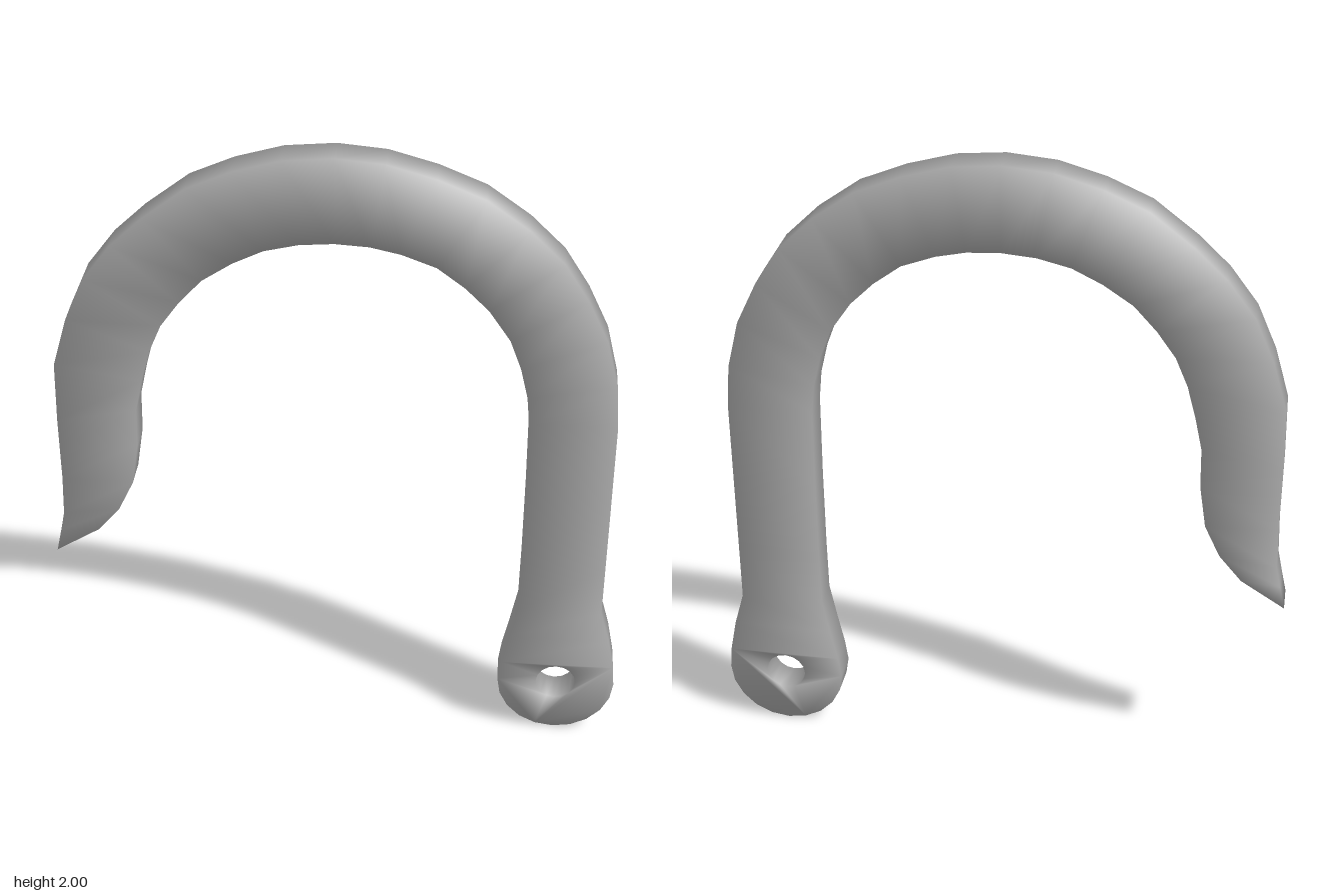
import * as THREE from 'three';

const HALF_DEPTH = 0.05;
const EYE = { x: 0.696, y: 0.185, r: 0.185, hole: 0.063 };
const TIP = [-0.886, 0.614];

// Outer edge, from beside the tip over the arch and down the shank to the eye
const outerEdge = [
  [-0.869, 0.69], [-0.855, 0.757], [-0.85, 0.89], [-0.85, 1], [-0.85, 1.1], [-0.845, 1.296],
  [-0.8, 1.45], [-0.74, 1.587], [-0.655, 1.7], [-0.56, 1.79], [-0.43, 1.89],
  [-0.3, 1.947], [-0.16, 1.987], [-0.013, 2], [0.13, 1.987], [0.272, 1.947],
  [0.41, 1.89], [0.535, 1.8], [0.637, 1.7], [0.712, 1.582], [0.775, 1.45],
  [0.812, 1.3], [0.823, 1.164], [0.823, 0.9], [0.823, 0.64], [0.823, 0.47],
  [0.854, 0.36], [0.875, 0.254],
];

// Inner edge in the same order, one point opposite each outer point
const innerEdge = [
  [-0.75, 0.7], [-0.68, 0.783], [-0.632, 0.884], [-0.611, 1.02], [-0.608, 1.148], [-0.585, 1.254],
  [-0.558, 1.354], [-0.52, 1.444], [-0.463, 1.524], [-0.394, 1.6], [-0.304, 1.66],
  [-0.214, 1.704], [-0.114, 1.728], [-0.013, 1.736], [0.087, 1.73], [0.177, 1.71],
  [0.278, 1.672], [0.36, 1.61], [0.43, 1.54], [0.495, 1.444], [0.53, 1.35],
  [0.553, 1.254], [0.562, 1.164], [0.565, 0.9], [0.565, 0.64], [0.563, 0.47],
  [0.542, 0.36], [0.52, 0.254],
];

// Points along a circle about the eye's centre
function arc(radius, from, to, steps) {
  return Array.from({ length: steps + 1 }, (_, i) => {
    const a = from + (to - from) * i / steps;
    return [EYE.x + radius * Math.cos(a), EYE.y + radius * Math.sin(a)];
  });
}

// Outward direction at each point of a closed loop that keeps the metal on its left
function outwardNormals(loop) {
  const edgeNormal = (a, b) => new THREE.Vector2(b[1] - a[1], a[0] - b[0]).normalize();
  return loop.map((p, i) => {
    const before = loop[(i + loop.length - 1) % loop.length];
    const after = loop[(i + 1) % loop.length];
    return edgeNormal(before, p).add(edgeNormal(p, after)).normalize();
  });
}

function hookGeometry() {
  const outline = [TIP, ...innerEdge, ...arc(EYE.r, Math.PI, Math.PI * 2, 10), ...[...outerEdge].reverse()];
  const hole = arc(EYE.hole, Math.PI * 2, 0, 16).slice(0, -1);
  const points = [...outline, ...hole];
  const normals2D = [...outwardNormals(outline), ...outwardNormals(hole)];
  const count = points.length;
  const ribs = innerEdge.length;
  const positions = [], normals = [], indices = [];

  // Front and back rims, their normals leaning halfway between face and wall
  for (const side of [1, -1]) {
    points.forEach(([x, y], i) => {
      positions.push(x, y, side * HALF_DEPTH);
      normals.push(normals2D[i].x * Math.SQRT1_2, normals2D[i].y * Math.SQRT1_2, side * Math.SQRT1_2);
    });
  }

  // One triangle on the front face and its mirror on the back
  const addFace = (a, b, c) => {
    const [p, q, r] = [points[a], points[b], points[c]];
    const turn = (q[0] - p[0]) * (r[1] - p[1]) - (q[1] - p[1]) * (r[0] - p[0]);
    if (turn < 0) [b, c] = [c, b];
    indices.push(a, b, c, a + count, c + count, b + count);
  };

  // Faces of the tip, arch and shank: a strip between the two edges
  const inner = (i) => 1 + i;
  const outer = (i) => outline.length - 1 - i;
  addFace(0, inner(0), outer(0));
  for (let i = 0; i < ribs - 1; i++) {
    addFace(outer(i), inner(i), inner(i + 1));
    addFace(outer(i), inner(i + 1), outer(i + 1));
  }

  // Faces of the eye, around its hole
  const toVector = ([x, y]) => new THREE.Vector2(x, y);
  const rim = outline.slice(ribs, outline.length - ribs + 1);
  const toIndex = (k) => (k < rim.length ? ribs + k : outline.length + k - rim.length);
  for (const face of THREE.ShapeUtils.triangulateShape(rim.map(toVector), [hole.map(toVector)])) {
    addFace(...face.map(toIndex));
  }

  // Walls around the outline and inside the hole
  const addWalls = (start, length) => {
    for (let i = 0; i < length; i++) {
      const a = start + i, b = start + (i + 1) % length;
      indices.push(a + count, b + count, b, a + count, b, a);
    }
  };
  addWalls(0, outline.length);
  addWalls(outline.length, hole.length);

  const geometry = new THREE.BufferGeometry();
  geometry.setAttribute('position', new THREE.Float32BufferAttribute(positions, 3));
  geometry.setAttribute('normal', new THREE.Float32BufferAttribute(normals, 3));
  geometry.setIndex(indices);
  return geometry;
}

export function createModel() {
  const group = new THREE.Group();
  group.name = 'hook';
  const body = new THREE.Mesh(hookGeometry(), new THREE.MeshStandardMaterial({ color: 0xaaaaaa }));
  body.name = 'hookBody';
  group.add(body);
  return group;
}
